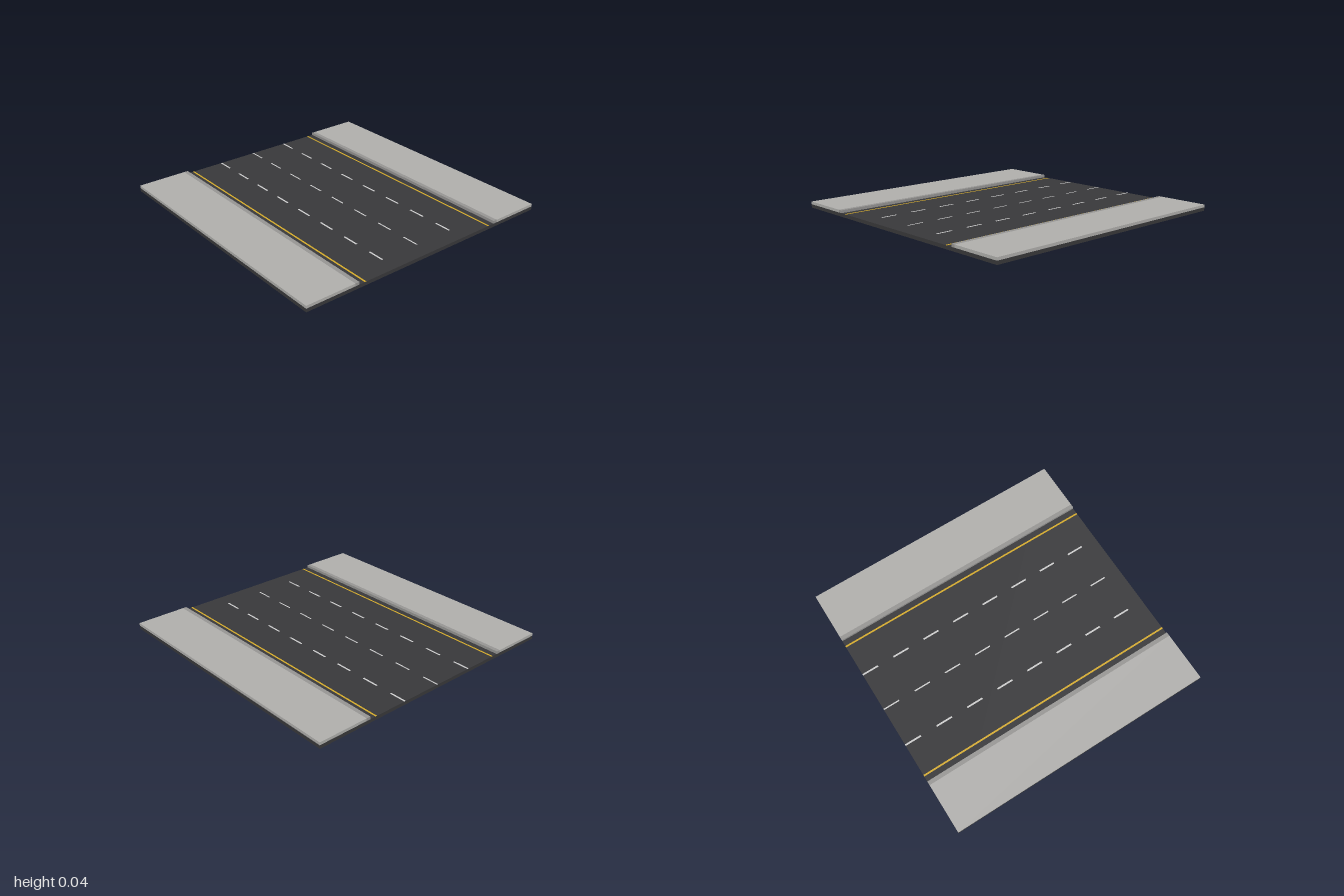
import * as THREE from 'three';

const material = (color) => new THREE.MeshStandardMaterial({ color });

export function createModel() {
  const group = new THREE.Group();
  const asphalt = material(0x38383a);
  const paving = material(0xb0afac);
  const kerb = material(0x969593);
  const yellow = material(0xd4aa2a);
  const white = material(0xd8d8d4);

  const roadTop = 0.025;
  const walkHeight = 0.02;
  const paint = 0.001;

  // Box resting on height y, centred on x and z
  const slab = (name, mat, w, h, d, x, y, z) => {
    const mesh = new THREE.Mesh(new THREE.BoxGeometry(w, h, d), mat);
    mesh.name = name;
    mesh.position.set(x, y + h / 2, z);
    group.add(mesh);
  };

  // Road bed, running under the pavements
  slab('roadBed', asphalt, 2, roadTop, 2, 0, 0, 0);

  // Pavement, kerb and solid edge line on both sides
  for (const [side, s] of [['front', 1], ['back', -1]]) {
    slab(`${side}Pavement`, paving, 2, walkHeight, 0.37, 0, roadTop, s * 0.815);
    slab(`${side}Kerb`, kerb, 2, walkHeight, 0.03, 0, roadTop, s * 0.615);
    slab(`${side}EdgeLine`, yellow, 2, paint, 0.0125, 0, roadTop, s * 0.55);
  }

  // Dashed lane lines, the centre one slightly thinner
  for (const [z, width] of [[-0.3, 0.0125], [0, 0.01], [0.3, 0.0125]]) {
    for (let i = 0; i < 8; i++) {
      slab('laneDash', white, 0.125, paint, width, -0.9375 + i * 0.25, roadTop, z);
    }
  }

  return group;
}
